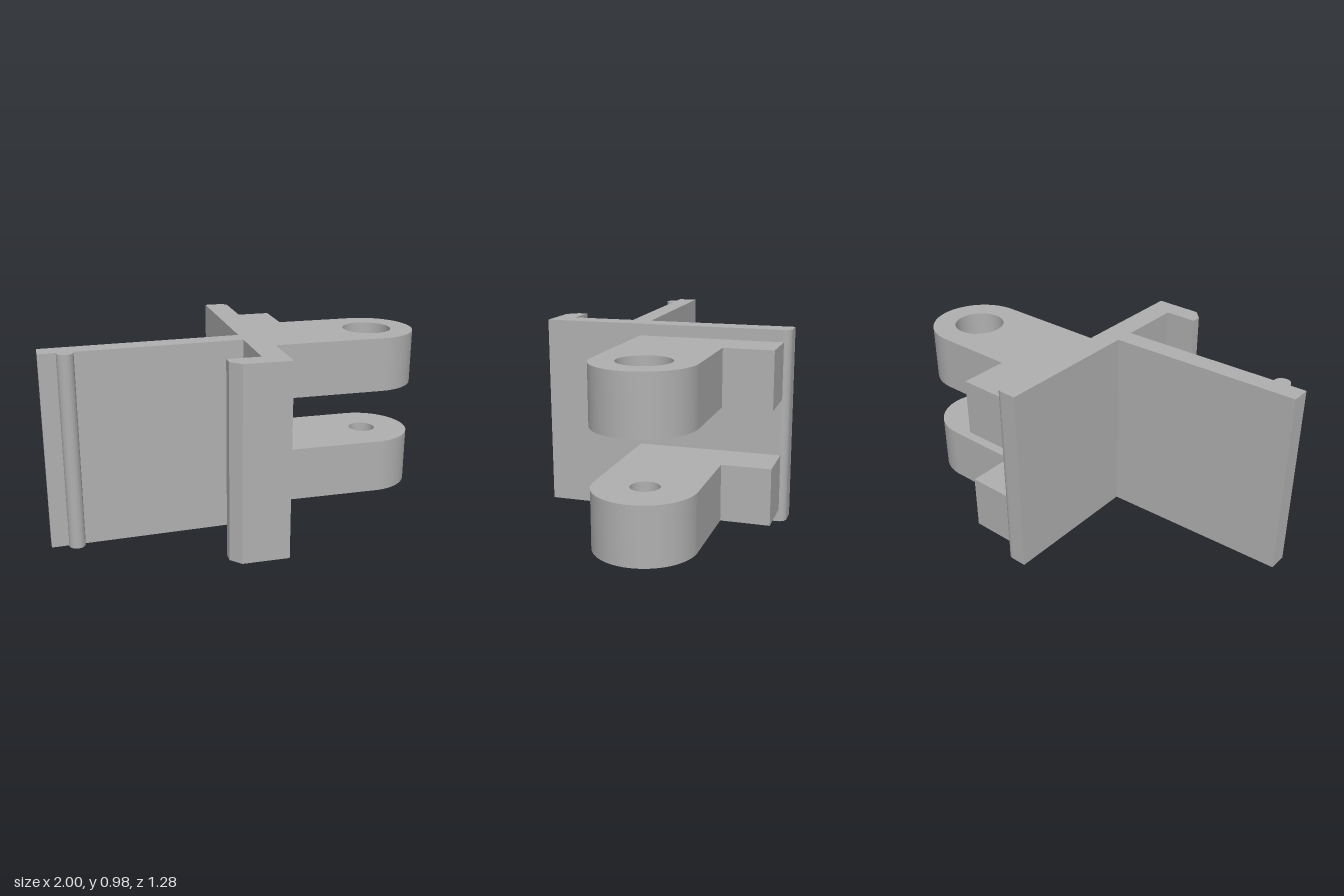
import * as THREE from 'three';
import { toCreasedNormals } from 'three/addons/utils/BufferGeometryUtils.js';

const HEIGHT = 0.98;

// Plan outlines are drawn as (x, -z) and raised along y.
function raise(shape, y0, y1, name, material) {
  let geometry = new THREE.ExtrudeGeometry(shape, {
    depth: y1 - y0, bevelEnabled: false, curveSegments: 32,
  });
  geometry.rotateX(-Math.PI / 2);
  geometry.translate(0, y0, 0);
  geometry = toCreasedNormals(geometry, Math.PI / 6);
  const mesh = new THREE.Mesh(geometry, material);
  mesh.name = name;
  return mesh;
}

// Main plate with hooked front lip and one rounded back edge
function plateShape() {
  const s = new THREE.Shape();
  s.moveTo(-0.02, 0.64);
  s.lineTo(-0.02, -0.535);
  s.lineTo(-0.185, -0.535);
  s.lineTo(-0.185, -0.585);
  s.lineTo(-0.135, -0.637);
  s.lineTo(0.10, -0.637);
  s.lineTo(0.10, 0.60);
  s.absarc(0.06, 0.60, 0.04, 0, Math.PI / 2, false);
  s.closePath();
  return s;
}

// Slightly slanted fin with a round bead near its free end
function finShape() {
  const s = new THREE.Shape();
  s.moveTo(-0.02, -0.11);
  s.lineTo(-1, -0.145);
  s.lineTo(-1, -0.245);
  s.lineTo(-0.915, -0.242);
  s.absarc(-0.875, -0.247, 0.04, Math.PI, Math.PI * 2, false);
  s.lineTo(-0.835, -0.239);
  s.lineTo(-0.02, -0.21);
  s.closePath();
  return s;
}

// Hinge lug with stepped root, round nose and pin hole
function lugShape(holeRadius) {
  const s = new THREE.Shape();
  s.moveTo(0.10, -0.13);
  s.lineTo(0.755, -0.13);
  s.absarc(0.755, 0.115, 0.245, -Math.PI / 2, Math.PI / 2, false);
  s.lineTo(0.34, 0.36);
  s.lineTo(0.34, 0.605);
  s.lineTo(0.10, 0.605);
  s.closePath();
  const hole = new THREE.Path();
  hole.absarc(0.755, 0.115, holeRadius, 0, Math.PI * 2, true);
  s.holes.push(hole);
  return s;
}

export function createModel() {
  const grey = new THREE.MeshStandardMaterial({ color: 0xb0b0b0 });
  grey.name = 'grey';

  const model = new THREE.Group();
  model.name = 'hingeBracket';
  model.add(raise(plateShape(), 0, HEIGHT, 'mainPlate', grey));
  model.add(raise(finShape(), 0, HEIGHT, 'clipFin', grey));

  // Each lug is stacked from two layers so its hole can be stepped
  const lugs = [
    { name: 'lowerLug', layers: [[0.065, 0.30, 0.08], [0.30, 0.35, 0.07]] },
    { name: 'upperLug', layers: [[0.635, 0.72, 0.07], [0.72, 0.92, 0.128]] },
  ];
  for (const { name, layers } of lugs) {
    const lug = new THREE.Group();
    lug.name = name;
    layers.forEach(([y0, y1, r], i) => {
      lug.add(raise(lugShape(r), y0, y1, i ? 'lugTop' : 'lugBase', grey));
    });
    model.add(lug);
  }
  return model;
}
